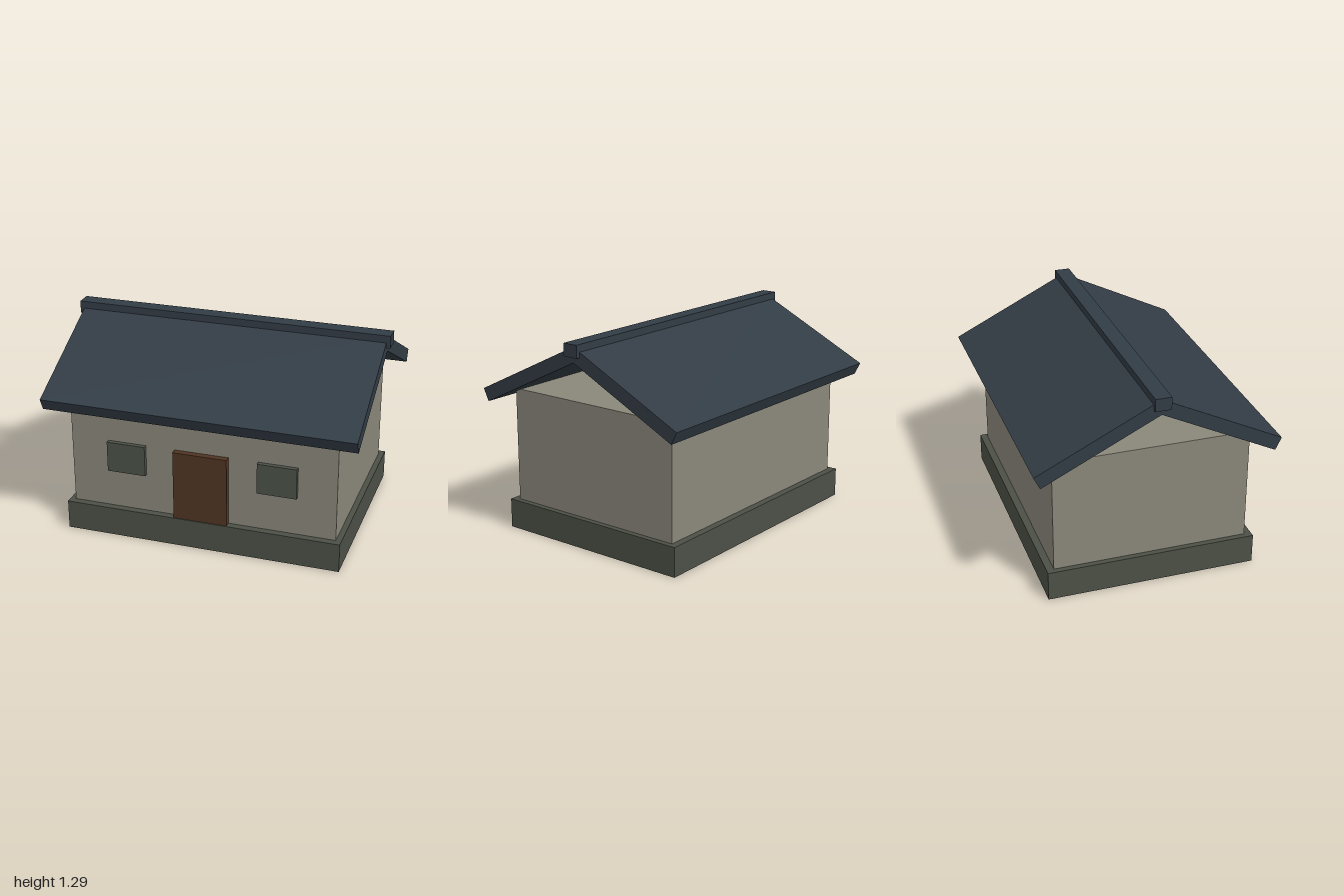
import * as THREE from 'three';

const paint = (name, color) => {
  const m = new THREE.MeshStandardMaterial({ color });
  m.name = name;
  return m;
};

export function createModel() {
  const house = new THREE.Group();
  house.name = 'house';

  const stone = paint('foundation stone', 0x4c5046);
  const plaster = paint('wall plaster', 0x8a877a);
  const wood = paint('door wood', 0x503522);
  const glass = paint('window glass', 0x4b5147);
  const slate = paint('roof slate', 0x323c45);

  // Box given by its lowest and highest corners
  const block = (name, material, [x0, y0, z0], [x1, y1, z1]) => {
    const mesh = new THREE.Mesh(new THREE.BoxGeometry(x1 - x0, y1 - y0, z1 - z0), material);
    mesh.position.set((x0 + x1) / 2, (y0 + y1) / 2, (z0 + z1) / 2);
    mesh.name = name;
    house.add(mesh);
  };

  block('foundation', stone, [-0.875, 0, -0.65], [0.875, 0.185, 0.65]);
  block('walls', plaster, [-0.84, 0.185, -0.605], [0.84, 0.902, 0.605]);

  // Front door and the two windows beside it
  block('door', wood, [-0.17, 0.185, 0.6], [0.17, 0.63, 0.645]);
  block('rightWindow', glass, [-0.6, 0.435, 0.6], [-0.355, 0.63, 0.633]);
  block('leftWindow', glass, [0.355, 0.435, 0.6], [0.6, 0.63, 0.633]);

  // Pitched roof: open chevron section swept along x, gable ends left open
  const section = new THREE.Shape([
    [-0.745, 0.908], [-0.708, 0.832], [0, 1.18],
    [0.708, 0.832], [0.745, 0.908], [0, 1.274],
  ].map(([z, y]) => new THREE.Vector2(z, y)));
  const roofGeometry = new THREE.ExtrudeGeometry(section, { depth: 1.95, bevelEnabled: false });
  roofGeometry.translate(0, 0, -0.975).rotateY(Math.PI / 2);
  const roof = new THREE.Mesh(roofGeometry, slate);
  roof.name = 'roof';
  house.add(roof);

  block('ridgeBeam', slate, [-1, 1.217, -0.049], [1, 1.295, 0.049]);

  return house;
}
